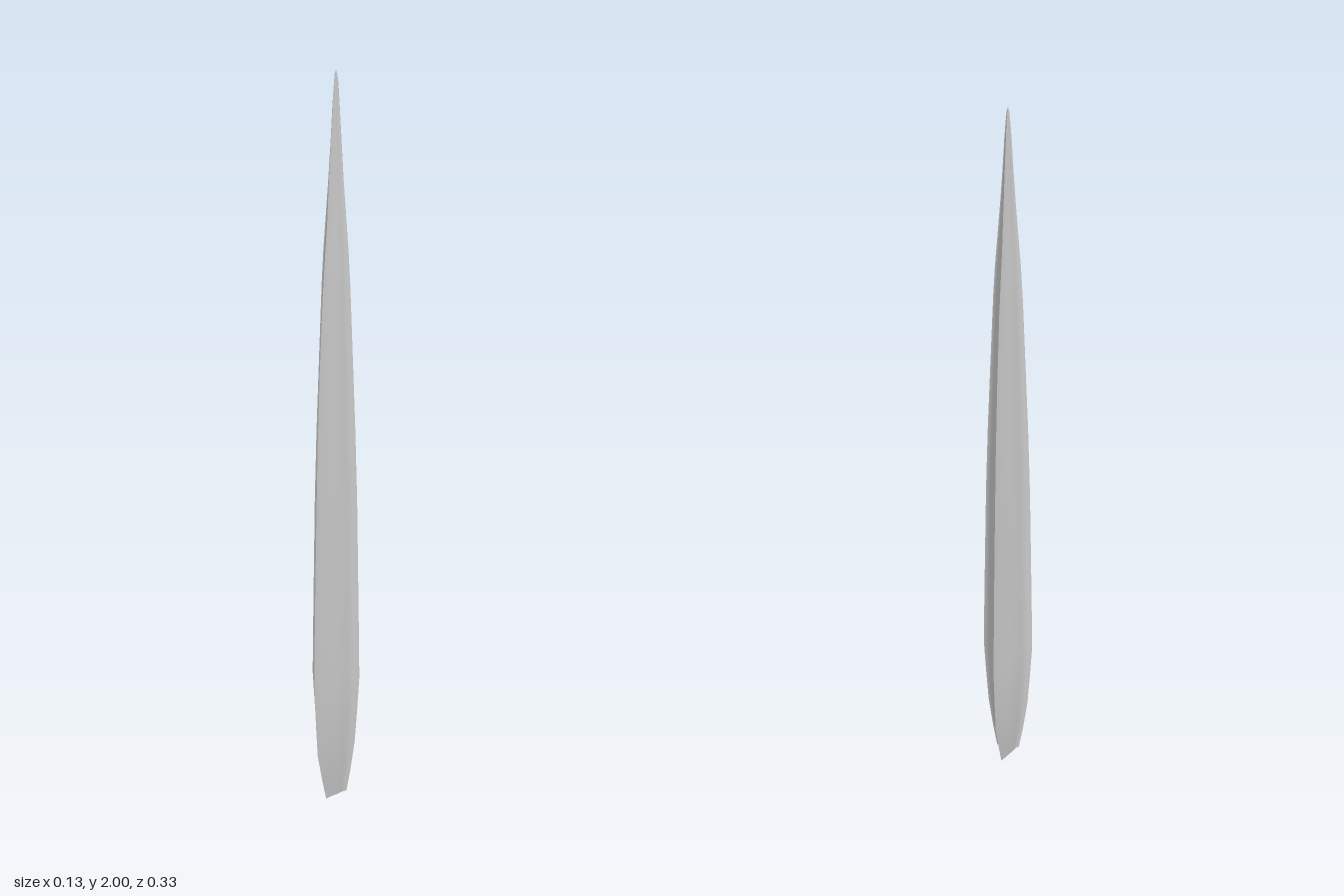
import * as THREE from 'three';

// Blade stations: height, half thickness (x), half width (z)
const stations = [
  [0, 0.029, 0.075], [0.06, 0.04, 0.105], [0.14, 0.052, 0.14], [0.23, 0.059, 0.153],
  [0.32, 0.065, 0.165], [0.5, 0.063, 0.162], [0.8, 0.059, 0.15], [1.0, 0.054, 0.14],
  [1.2, 0.047, 0.124], [1.4, 0.04, 0.102], [1.5, 0.035, 0.085], [1.6, 0.028, 0.067],
  [1.7, 0.021, 0.055], [1.8, 0.015, 0.041], [1.9, 0.01, 0.027], [1.96, 0.006, 0.018],
  [1.985, 0.004, 0.01], [2, 0.0005, 0.001],
];

// One quarter of the cross-section, from the raised spine to the cutting edge
const section = [
  [1, 0], [0.84, 0.03], [0.74, 0.1], [0.68, 0.18], [0.6, 0.31], [0.5, 0.43],
  [0.36, 0.57], [0.24, 0.69], [0.12, 0.83], [0.05, 0.92], [0, 1],
];

// A quarter face, mirrored by sx and sz; separate faces keep the edges sharp
function quarterFace(sx, sz) {
  const pos = [], index = [], n = section.length;
  for (const [y, hx, hz] of stations)
    for (const [u, v] of section) pos.push(sx * u * hx, y, sz * v * hz);
  for (let i = 0; i < stations.length - 1; i++)
    for (let j = 0; j < n - 1; j++) {
      const a = i * n + j, b = a + 1, c = a + n, d = c + 1;
      if (sx * sz > 0) index.push(a, c, b, b, c, d);
      else index.push(a, b, c, b, d, c);
    }
  const g = new THREE.BufferGeometry();
  g.setAttribute('position', new THREE.Float32BufferAttribute(pos, 3));
  g.setIndex(index);
  g.computeVertexNormals();
  return g;
}

export function createModel() {
  const group = new THREE.Group();
  group.name = 'blade';
  const steel = new THREE.MeshStandardMaterial({ color: 0xc8c8c8 });
  steel.name = 'steel grey';

  // Four hollow-ground faces
  for (const sx of [1, -1])
    for (const sz of [1, -1]) {
      const face = new THREE.Mesh(quarterFace(sx, sz), steel);
      face.name = `${sz > 0 ? 'front' : 'back'}${sx > 0 ? 'Left' : 'Right'}BladeFace`;
      group.add(face);
    }

  // Flat base, closing the lowest station
  const [, hx, hz] = stations[0];
  const q = section.map(([u, v]) => [u * hx, v * hz]);
  const r = [...q].reverse();
  const outline = [
    ...q, ...r.slice(1).map(([x, z]) => [-x, z]),
    ...q.slice(1).map(([x, z]) => [-x, -z]), ...r.slice(1, -1).map(([x, z]) => [x, -z]),
  ].map(([x, z]) => new THREE.Vector2(x, z));
  const base = new THREE.Mesh(
    new THREE.ShapeGeometry(new THREE.Shape(outline)).rotateX(Math.PI / 2), steel);
  base.name = 'bladeBase';
  group.add(base);
  return group;
}
